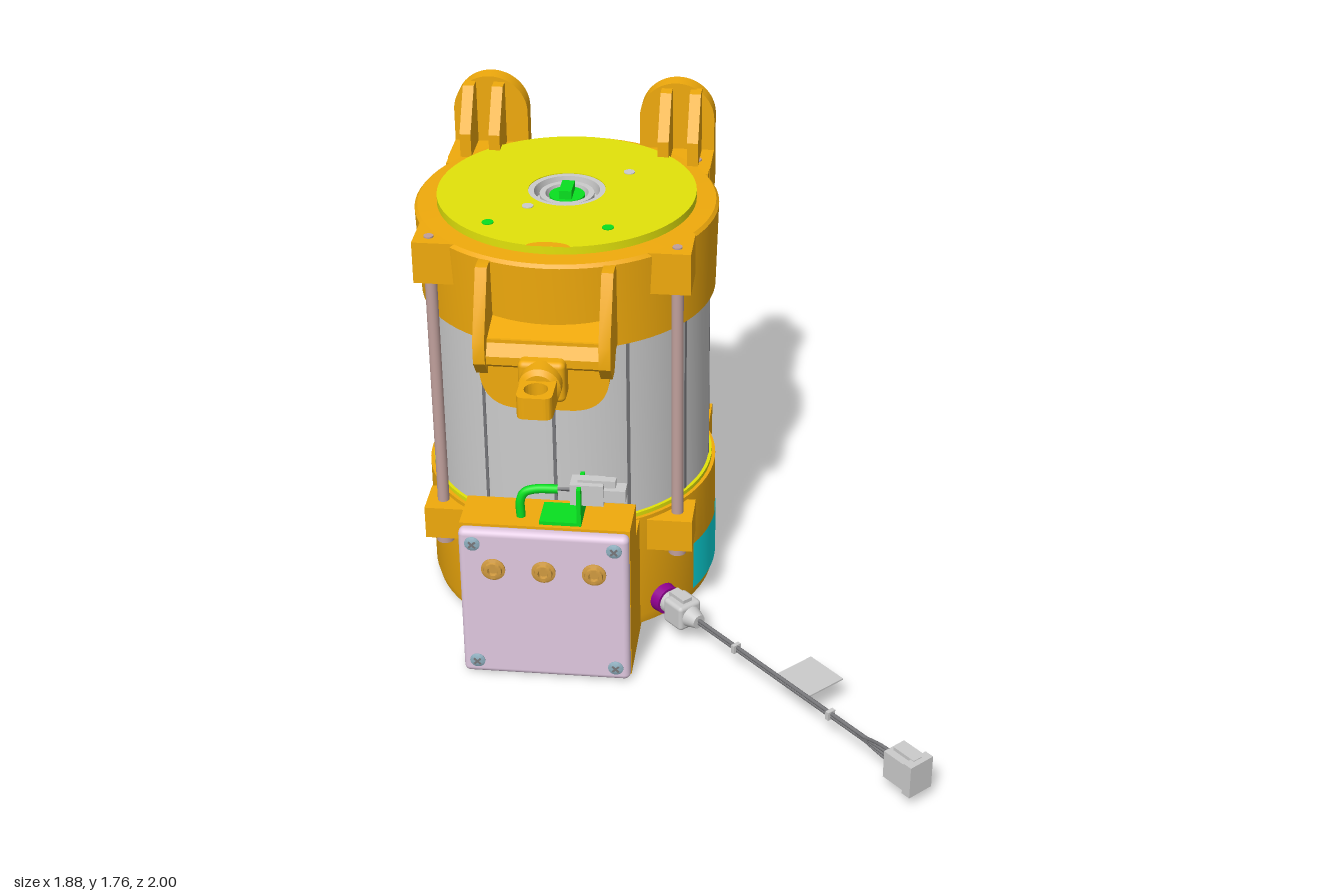
import * as THREE from 'three';
import { toCreasedNormals } from 'three/addons/utils/BufferGeometryUtils.js';
import { RoundedBoxGeometry } from 'three/addons/geometries/RoundedBoxGeometry.js';

const mat = (color) => new THREE.MeshStandardMaterial({ color });
const ORANGE = mat(0xf0aa0c), GREY = mat(0xcccccc), YELLOW = mat(0xe2e20a), GREEN = mat(0x08e020);
const LILAC = mat(0xe0c8e0), ROD = mat(0xc0a09c), TAN = mat(0xd09a40), PURPLE = mat(0x900090);
const STEEL = mat(0x8fb0c0), CYAN = mat(0x08e0e4), BROWN = mat(0x806050), DARK = mat(0x77777a);
CYAN.side = THREE.DoubleSide;
const CX = -0.41, CZ = -0.35; // motor axis

export function createModel() {
  const root = new THREE.Group();
  let target = root;
  const add = (name, geo, material, x = 0, y = 0, z = 0) => {
    const m = new THREE.Mesh(geo, material);
    m.name = name;
    m.position.set(x, y, z);
    target.add(m);
    return m;
  };
  // box given by its limits
  const box = (name, material, x0, x1, y0, y1, z0, z1) => add(name, new THREE.BoxGeometry(x1 - x0, y1 - y0, z1 - z0),
    material, (x0 + x1) / 2, (y0 + y1) / 2, (z0 + z1) / 2);
  const lathe = (name, pts, material, x = CX, y = 0, z = CZ, seg = 72) => add(name, toCreasedNormals(
    new THREE.LatheGeometry(pts.map((p) => new THREE.Vector2(...p)), seg), 0.6), material, x, y, z);
  // turned part along +z (dir 1) or -z (dir -1); profile is [radius, distance]
  const turnedZ = (name, pts, material, x, y, z, dir = 1) => {
    const m = lathe(name, pts, material, x, y, z, 28);
    m.rotation.x = dir * Math.PI / 2;
    return m;
  };
  const polygon = (pts) => new THREE.Shape(pts.map((p) => new THREE.Vector2(...p)));
  const extrude = (shape, depth) => toCreasedNormals(
    new THREE.ExtrudeGeometry(shape, { depth, bevelEnabled: false, curveSegments: 20 }), 0.5);
  // side profile of [z, y] points, swept from x0 to x1
  const sideProfile = (name, pts, x0, x1, material) =>
    add(name, extrude(polygon(pts), x1 - x0).rotateY(-Math.PI / 2), material, x1);
  const tube = (name, pts, r, material) => add(name, new THREE.TubeGeometry(
    new THREE.CatmullRomCurve3(pts.map((p) => new THREE.Vector3(...p)), false, 'centripetal'), 24, r, 10), material);

  // Main stacked body
  lathe('lowerHousing', [[0, 0.005], [0.49, 0.005], [0.515, 0.02], [0.525, 0.06], [0.525, 0.48], [0.49, 0.48]], ORANGE);
  lathe('sealRing', [[0.512, 0.475], [0.512, 0.495], [0.49, 0.495]], YELLOW);
  lathe('stator', [[0.5, 0.46], [0.5, 1.2]], GREY);
  lathe('upperHousing', [[0.48, 1.19], [0.52, 1.19], [0.53, 1.5], [0.52, 1.512], [0.44, 1.515]], ORANGE);
  lathe('topPlate', [[0.452, 1.51], [0.452, 1.543], [0.135, 1.543], [0.135, 1.48], [0, 1.48]], YELLOW);
  lathe('bottomPlug', [[0, 0], [0.1, 0], [0.1, 0.01]], BROWN);

  // Seams along the stator
  for (let i = 0; i < 12; i++) {
    const a = i * Math.PI / 6 + 0.02;
    const s = add('statorSeam', new THREE.BoxGeometry(0.012, 0.71, 0.012), DARK,
      CX + 0.496 * Math.sin(a), 0.835, CZ + 0.496 * Math.cos(a));
    s.rotation.y = a;
  }

  // Shaft, bearing and plugs in the top plate
  lathe('bearing', [[0.135, 1.48], [0.135, 1.54], [0.115, 1.54], [0.11, 1.5], [0.095, 1.5], [0.095, 1.53],
    [0.075, 1.53], [0.07, 1.5], [0, 1.5]], GREY);
  lathe('shaft', [[0.062, 1.48], [0.062, 1.525], [0, 1.525]], GREEN);
  box('shaftKey', GREEN, CX - 0.022, CX + 0.022, 1.52, 1.556, CZ - 0.045, CZ + 0.045);
  for (const [x, z, m] of [[-0.64, -0.06, GREEN], [-0.23, -0.06, GREEN], [-0.21, -0.51, GREY], [-0.525, -0.2, GREY]])
    add('platePlug', new THREE.CylinderGeometry(0.02, 0.02, 0.012, 20), m, x, 1.54, z);
  const notch = add('plateNotch', new THREE.CylinderGeometry(0.075, 0.075, 0.032, 28, 1, false, Math.PI / 2, Math.PI),
    ORANGE, CX, 1.529, CZ + 0.455);
  notch.scale.z = 0.45;

  // Tie rods with their corner lugs
  for (const sx of [-1, 1]) for (const sz of [-1, 1]) {
    const x = CX + sx * 0.422, z = CZ + sz * 0.355;
    const span = (c, s, inner, outer) => [c + s * inner, c + s * outer].sort((a, b) => a - b);
    box('upperLug', ORANGE, ...span(CX, sx, 0.3, 0.472), 1.36, 1.512, ...span(CZ, sz, 0.24, 0.405));
    box('lowerLug', ORANGE, ...span(CX, sx, 0.32, 0.48), 0.34, 0.465, ...span(CZ, sz, 0.27, 0.42));
    add('tieRod', new THREE.CylinderGeometry(0.021, 0.021, 1.04, 20), ROD, x, 0.86, z);
    add('rodHead', new THREE.CylinderGeometry(0.032, 0.032, 0.045, 20), ROD, x, 0.318, z);
    add('rodEnd', new THREE.CylinderGeometry(0.017, 0.017, 0.01, 16), ROD, x, 1.512, z);
  }

  // Rear mounting pins
  const rearPin = (x, y) => turnedZ('rearPin', [[0.085, 0], [0.07, 0.02], [0.066, 0.135], [0.058, 0.145], [0, 0.145]],
    ORANGE, x, y, -0.855, -1);
  rearPin(CX, 0.17);
  box('rearPad', ORANGE, CX - 0.15, CX + 0.15, 0.03, 0.34, -0.865, -0.75);

  // Rear brackets with rounded tops and pairs of gussets
  for (const s of [-1, 1]) {
    const cx = CX + s * 0.34, r = 0.135;
    const plate = new THREE.Shape();
    plate.moveTo(cx - r, 1.36);
    plate.lineTo(cx + r, 1.36);
    plate.lineTo(cx + r, 1.63);
    plate.absarc(cx, 1.63, r, 0, Math.PI, false);
    add('rearBracket', extrude(plate, 0.065), ORANGE, 0, 0, -0.865);
    box('bracketBase', ORANGE, cx - r, cx + r, 1.36, 1.512, -0.81, -0.64);
    for (const o of [s * 0.07, -s * 0.035])
      sideProfile('bracketGusset', [[-0.81, 1.49], [-0.65, 1.49], [-0.65, 1.6], [-0.755, 1.745], [-0.81, 1.745]],
        cx + o - 0.02, cx + o + 0.02, ORANGE);
    rearPin(cx, 1.635);
  }

  // Front arm: rounded shield, side ribs and hook
  const shield = new THREE.Shape();
  shield.moveTo(CX - 0.225, 1.27);
  shield.lineTo(CX - 0.22, 1.14);
  shield.quadraticCurveTo(CX - 0.21, 1.01, CX - 0.08, 1.01);
  shield.lineTo(CX + 0.08, 1.01);
  shield.quadraticCurveTo(CX + 0.21, 1.01, CX + 0.22, 1.14);
  shield.lineTo(CX + 0.225, 1.27);
  add('armShield', extrude(shield, 0.05), ORANGE, 0, 0, 0.21);
  sideProfile('armShelf', [[0.12, 1.2], [0.25, 1.16], [0.29, 1.19], [0.29, 1.22], [0.25, 1.27], [0.12, 1.3]],
    CX - 0.2, CX + 0.2, ORANGE);
  for (const s of [-1, 1])
    sideProfile('armRib', [[0.06, 1.49], [0.16, 1.505], [0.2, 1.505], [0.31, 1.28], [0.31, 1.2], [0.26, 1.14],
      [0.21, 1.14], [0.16, 1.2], [0.06, 1.2]], CX + s * 0.21 - 0.02, CX + s * 0.21 + 0.02, ORANGE);
  add('hookBase', new RoundedBoxGeometry(0.16, 0.15, 0.13, 3, 0.02), ORANGE, CX, 1.15, 0.265);
  turnedZ('hookCollar', [[0.072, 0], [0.072, 0.06], [0.055, 0.075], [0, 0.075]], ORANGE, CX, 1.155, 0.31);
  const hook = new THREE.Shape();
  hook.moveTo(CX - 0.06, -0.31);
  hook.lineTo(CX - 0.06, -0.47);
  hook.quadraticCurveTo(CX - 0.06, -0.5, CX - 0.03, -0.5);
  hook.lineTo(CX + 0.03, -0.5);
  hook.quadraticCurveTo(CX + 0.06, -0.5, CX + 0.06, -0.47);
  hook.lineTo(CX + 0.06, -0.31);
  hook.holes.push(new THREE.Path().absarc(CX, -0.437, 0.04, 0, Math.PI * 2, true));
  add('hook', extrude(hook, 0.08).rotateX(-Math.PI / 2), ORANGE, 0, 1.11, 0);

  // Control box with lid, screws and bosses
  box('controlBox', ORANGE, CX - 0.295, CX + 0.295, 0.005, 0.605, 0.19, 0.365);
  box('controlBoxNeck', ORANGE, CX - 0.295, CX + 0.295, 0.005, 0.475, -0.1, 0.2);
  add('controlLid', new RoundedBoxGeometry(0.59, 0.595, 0.05, 4, 0.022), LILAC, CX, 0.303, 0.383);
  for (const x of [CX - 0.245, CX + 0.245]) for (const y of [0.06, 0.55]) {
    turnedZ('lidScrew', [[0.027, 0], [0.027, 0.006], [0.015, 0.012], [0, 0.012]], STEEL, x, y, 0.405);
    for (const a of [0.785, -0.785]) {
      const slot = add('screwSlot', new THREE.BoxGeometry(0.032, 0.007, 0.004), DARK, x, y, 0.417);
      slot.rotation.z = a;
    }
  }
  for (const o of [-0.175, 0, 0.175])
    turnedZ('lidBoss', [[0.042, 0], [0.042, 0.008], [0.032, 0.012], [0.03, 0.02], [0.018, 0.02], [0.016, 0.008], [0, 0.008]],
      TAN, CX + o, 0.45, 0.405);

  // Green lead and plug on top of the box
  tube('greenLead', [[-0.5, 0.6, 0.3], [-0.5, 0.67, 0.3], [-0.485, 0.7, 0.297], [-0.45, 0.712, 0.293], [-0.37, 0.715, 0.29]],
    0.016, GREEN);
  box('plugStand', GREEN, -0.3, -0.285, 0.6, 0.75, 0.225, 0.35);
  box('plugFoot', GREEN, -0.43, -0.285, 0.6, 0.618, 0.225, 0.35);
  for (const o of [-0.01, 0, 0.01]) tube('plugWire', [[-0.38, 0.715, 0.29], [-0.3, 0.715 + o, 0.29 + o]], 0.005, DARK);
  box('plugBody', GREY, -0.325, -0.21, 0.675, 0.755, 0.255, 0.325);
  box('plugNose', GREY, -0.21, -0.135, 0.69, 0.735, 0.262, 0.318);
  box('plugLatch', GREY, -0.3, -0.17, 0.738, 0.765, 0.275, 0.305);

  // Curved side label
  add('sideLabel', new THREE.CylinderGeometry(0.528, 0.528, 0.195, 24, 1, true, Math.PI / 2 - 0.475, 0.95),
    CYAN, CX, 0.158, CZ);

  // Cable leaving the housing diagonally; local +x runs along it
  const cable = new THREE.Group();
  cable.name = 'cable';
  cable.position.set(-0.06, 0.105, 0);
  cable.rotation.y = -Math.PI / 4;
  root.add(cable);
  target = cable;
  const along = (name, r0, r1, x0, x1, m) =>
    add(name, new THREE.CylinderGeometry(r1, r0, x1 - x0, 24).rotateZ(-Math.PI / 2), m, (x0 + x1) / 2);
  along('grommet', 0.058, 0.052, 0, 0.065, PURPLE);
  along('socketCollar', 0.042, 0.042, 0.06, 0.1, GREY);
  add('socketBody', new RoundedBoxGeometry(0.1, 0.1, 0.1, 2, 0.015), GREY, 0.14);
  box('socketLatch', GREY, 0.09, 0.17, 0.045, 0.064, -0.02, 0.02);
  along('socketNose', 0.04, 0.026, 0.19, 0.235, GREY);
  for (const o of [-1, 1]) tube('cableCore', [[0.22, o * 0.006, 0], [1.1, o * 0.006, 0]], 0.007, DARK);
  for (const x of [0.43, 0.92]) box('cableTie', GREY, x, x + 0.015, -0.016, 0.016, -0.016, 0.016);
  box('cableTag', GREY, 0.645, 0.81, -0.003, 0.003, -0.168, 0.004);
  for (const y of [-0.035, -0.012, 0.012, 0.035])
    tube('fanWire', [[1.06, 0, 0], [1.11, y * 0.25, 0], [1.18, y * 0.9, y * 0.3], [1.25, y, y * 0.3]], 0.006, DARK);
  box('endPlug', GREY, 1.235, 1.335, -0.05, 0.055, -0.045, 0.045);
  box('endPlugFlange', GREY, 1.33, 1.365, -0.058, 0.065, -0.05, 0.05);
  box('endPlugLatch', GREY, 1.25, 1.345, 0.05, 0.068, -0.018, 0.018);
  return root;
}
